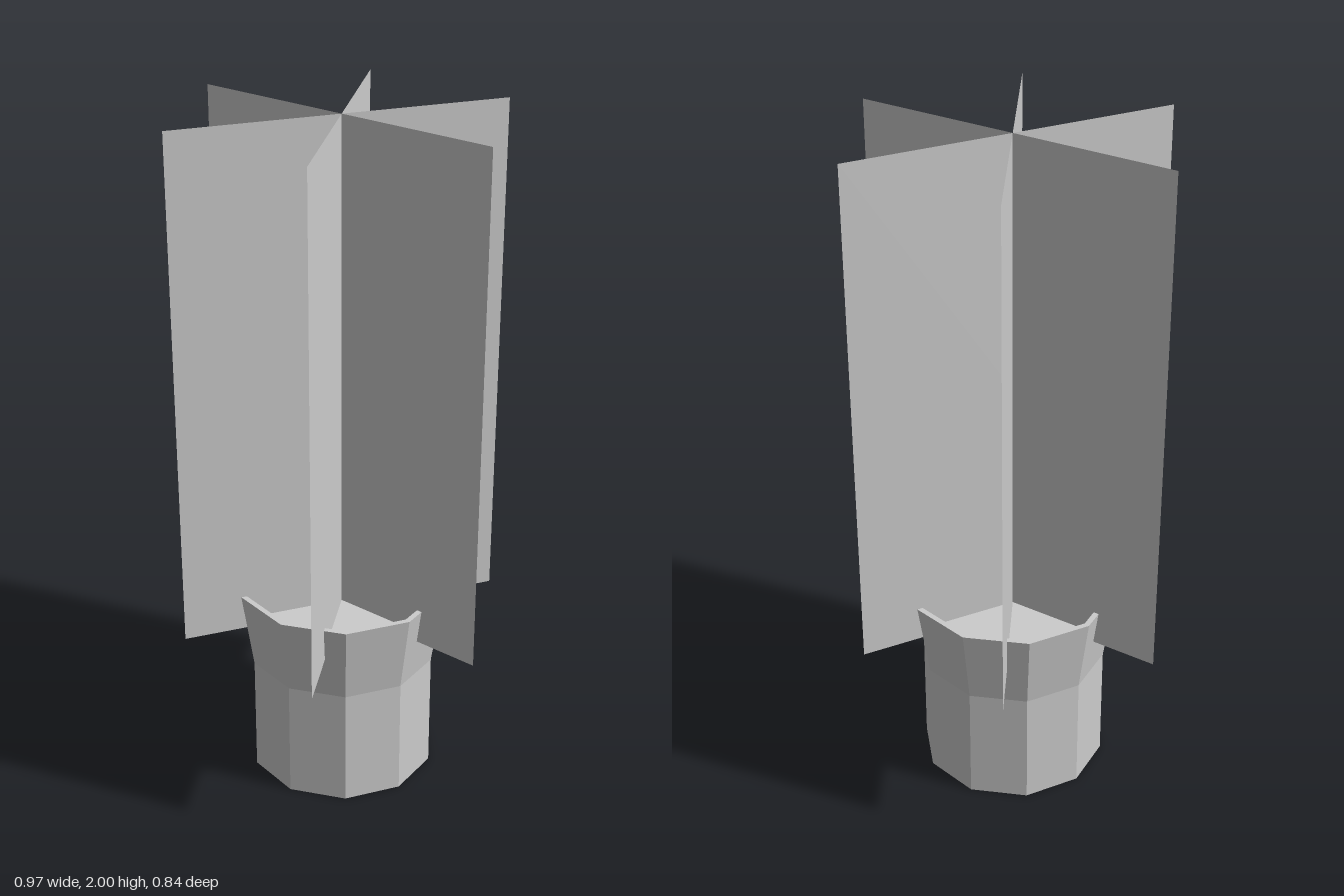
import * as THREE from 'three';

const SIDES = 10;

export function createModel() {
  const model = new THREE.Group();
  const grey = new THREE.MeshStandardMaterial({ color: 0xcccccc, side: THREE.DoubleSide });
  grey.name = 'light grey';

  const add = (name, geometry) => {
    const mesh = new THREE.Mesh(geometry, grey);
    mesh.name = name;
    model.add(mesh);
    return mesh;
  };

  // Ten-sided shell with hard facets, corners on the x axis
  const facetedShell = (profile) => {
    const points = profile.map(([r, y]) => new THREE.Vector2(r, y));
    const geometry = new THREE.LatheGeometry(points, SIDES, Math.PI / 2).toNonIndexed();
    geometry.computeVertexNormals();
    return geometry;
  };

  // Pot: straight base, flared collar, flat rim and short inner wall
  add('pot', facetedShell([
    [0.277, 0], [0.277, 0.36], [0.312, 0.595], [0.295, 0.595], [0.28, 0.522],
  ]));

  // Soil surface inside the rim
  const soil = new THREE.CircleGeometry(0.28, SIDES).rotateX(-Math.PI / 2);
  add('soil', soil).position.y = 0.522;

  // Floor plate set in from the pot wall
  const floor = new THREE.CircleGeometry(0.229, SIDES).rotateX(Math.PI / 2);
  add('potFloor', floor).position.y = 0.002;

  // Three upright foliage sheets crossing on the centre axis
  const bottom = 0.49, top = 2;
  for (let i = 0; i < 3; i++) {
    const sheet = add('foliageSheet' + (i + 1), new THREE.PlaneGeometry(0.97, top - bottom));
    sheet.position.y = (top + bottom) / 2;
    sheet.rotation.y = (i * Math.PI) / 3;
  }

  return model;
}
